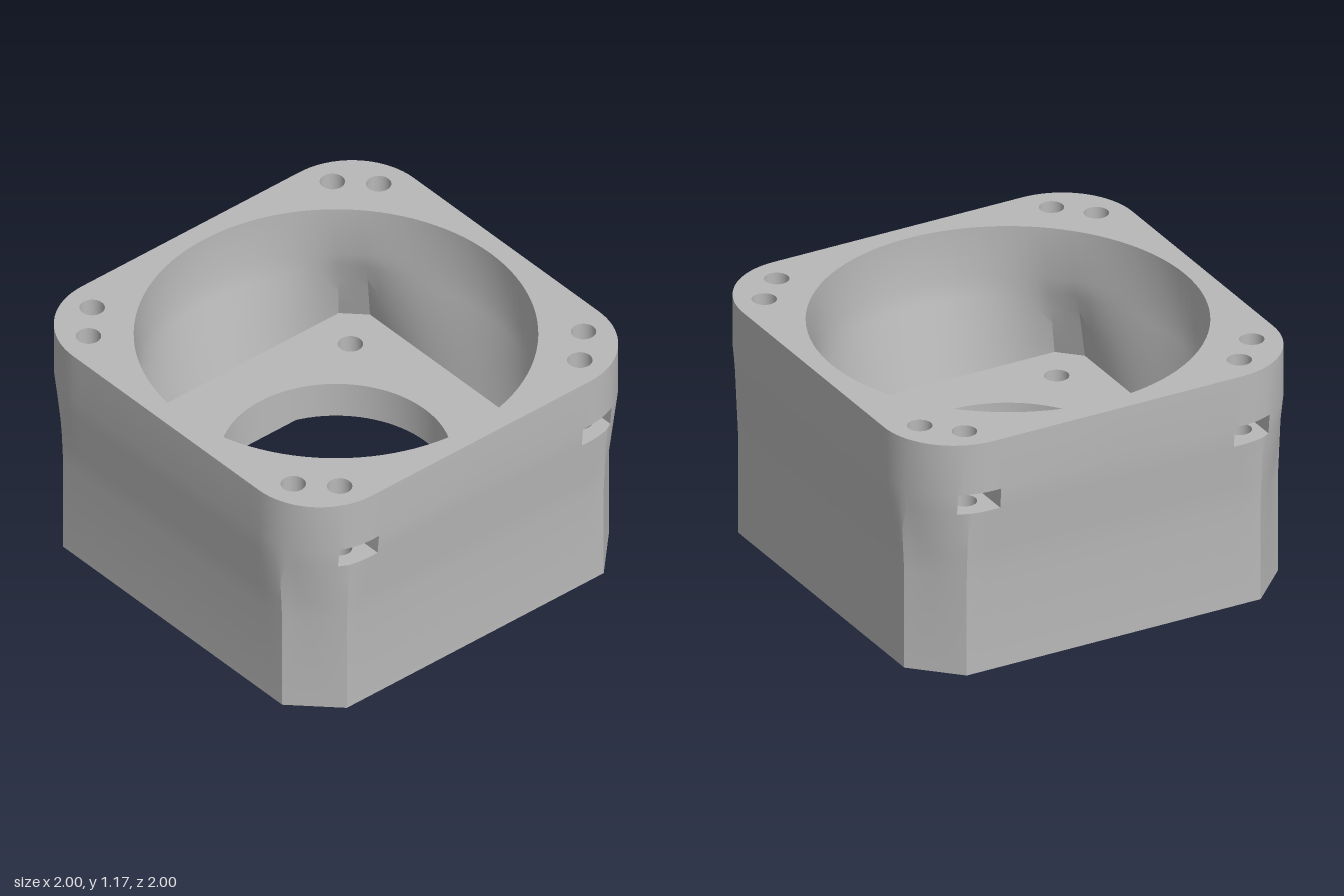
import * as THREE from 'three';
import { toCreasedNormals } from 'three/addons/utils/BufferGeometryUtils.js';

const TOP = 1.17, FLARE_TOP = 0.92, FLOOR = 0.48, PLATE = 0.30, SLOT_LOW = 0.82, BLIND = 0.7;
const SIGNS = [[1, 1], [-1, 1], [1, -1], [-1, -1]];

// Turn points from the +z axis to the diagonal into a full four-fold ring of [x, z]
function fullRing(half) {
  const quarter = [...half, ...half.slice(1, -1).reverse().map(([x, z]) => [z, x])];
  const ring = [];
  for (let k = 0; k < 4; k++) {
    for (let [x, z] of quarter) {
      for (let j = 0; j < k; j++) [x, z] = [z, -x];
      ring.push([x, z]);
    }
  }
  return ring;
}

function circle(r, cx = 0, cz = 0, n = 32) {
  return Array.from({ length: n }, (_, i) => {
    const a = i / n * Math.PI * 2;
    return [cx + r * Math.sin(a), cz + r * Math.cos(a)];
  });
}

// Outer section: chamfered square at t = 0, rounded square at t = 1
const DIAG = 0.64 + 0.36 * Math.SQRT1_2;
const OUTER_X = [0, 0.6, 0.64, 0.67, 0.7, 0.73, 0.755, 0.78, 0.8, 0.825, 0.85, 0.873, DIAG];
function outerPoint(x, t) {
  const zr = x <= 0.64 ? 1 : 0.64 + Math.sqrt(0.1296 - (x - 0.64) ** 2);
  const xo = x <= 0.8 ? x : 0.8 + (x - 0.8) * 0.0575 / (DIAG - 0.8);
  const zo = xo <= 0.755 ? 0.96 : 0.96 - (xo - 0.755);
  return [xo + (x - xo) * t, zo + (zr - zo) * t];
}
const flare = (y) => Math.min(1, Math.max(0, (y - FLOOR) / (FLARE_TOP - FLOOR)));
const outerRing = (y) => fullRing(OUTER_X.map((x) => outerPoint(x, flare(y))));

// Inner section: chamfered square at t = 0, circle at t = 1
const CORNER = Math.atan2(0.68, 0.78);
const INNER_A = [...Array.from({ length: 13 }, (_, i) => CORNER * i / 12), Math.PI / 4];
function innerRing(y) {
  const t = flare(y);
  return fullRing(INNER_A.map((a) => {
    const s = Math.sin(a), c = Math.cos(a);
    const r = Math.min(0.78 / c, 1.46 / (c + s)) * (1 - t) + 0.905 * t;
    return [r * s, r * c];
  }));
}

// Skin between stacked sections; inward turns the faces to the inside
function loft(rows, { inward = false, closed = true, skip } = {}) {
  const pos = [];
  for (let j = 0; j < rows.length - 1; j++) {
    const [lo, y0] = rows[j], [hi, y1] = rows[j + 1];
    const n = lo.length;
    for (let i = 0; i < (closed ? n : n - 1); i++) {
      const k = (i + 1) % n;
      if (skip && skip(lo[i], lo[k], y0)) continue;
      const a = [lo[i][0], y0, lo[i][1]], b = [lo[k][0], y0, lo[k][1]];
      const c = [hi[k][0], y1, hi[k][1]], d = [hi[i][0], y1, hi[i][1]];
      const tris = inward ? [a, c, b, a, d, c] : [a, b, c, a, c, d];
      tris.forEach((p) => pos.push(...p));
    }
  }
  const g = new THREE.BufferGeometry();
  g.setAttribute('position', new THREE.Float32BufferAttribute(pos, 3));
  return toCreasedNormals(g, 0.45);
}

// Flat horizontal face with holes, facing up or down
function cap(outline, holes, y, up) {
  const s = up ? -1 : 1;
  const pts = (ring) => ring.map(([x, z]) => new THREE.Vector2(x, z * s));
  const shape = new THREE.Shape(pts(outline));
  holes.forEach((h) => shape.holes.push(new THREE.Path(pts(h))));
  return new THREE.ShapeGeometry(shape).rotateX(s * Math.PI / 2).translate(0, y, 0);
}

export function createModel() {
  const model = new THREE.Group();
  const grey = new THREE.MeshStandardMaterial({ color: 0xb8b8b8, side: THREE.DoubleSide });
  grey.name = 'plain grey';
  const add = (name, geometry, parent = model) => {
    const mesh = new THREE.Mesh(geometry, grey);
    mesh.name = name;
    parent.add(mesh);
  };

  // Outer shell, left open where the four slots enter the front and back
  const inSlot = ([x, z]) => Math.abs(x) > 0.599 && Math.abs(x) < 0.801 && Math.abs(z) > 0.9;
  add('outerShell', loft([0, FLOOR, 0.6, 0.7, SLOT_LOW, FLARE_TOP, TOP].map((y) => [outerRing(y), y]), {
    skip: (a, b, y) => y === SLOT_LOW && inSlot(a) && inSlot(b) && a[0] * b[0] > 0,
  }));

  // Round mouth flowing down to the square floor, and the recess underneath
  add('upperCavity', loft([FLOOR, 0.56, 0.65, 0.74, 0.83, FLARE_TOP, TOP].map((y) => [innerRing(y), y]), { inward: true }));
  add('lowerCavity', loft([[innerRing(0), 0], [innerRing(0), PLATE]], { inward: true }));

  // Inner plate with centre opening and four screw holes
  const plateHoles = [circle(0.52, 0, 0, 96), ...SIGNS.map(([x, z]) => circle(0.057, x * 0.575, z * 0.575))];
  add('plateTop', cap(innerRing(0), plateHoles, FLOOR, true));
  add('plateUnderside', cap(innerRing(0), plateHoles, PLATE, false));
  plateHoles.forEach((h, i) => add(i ? 'plateScrewHole' : 'centreOpening',
    loft([[h, PLATE], [h, FLOOR]], { inward: true })));

  // Top rim with paired mounting holes, and the bottom rim
  const frontHole = circle(0.057, 0.706, 0.853), sideHole = circle(0.057, 0.853, 0.706);
  const rimHoles = SIGNS.flatMap(([x, z]) => [frontHole, sideHole].map((h) => h.map((p) => [p[0] * x, p[1] * z])));
  add('topRim', cap(outerRing(TOP), [innerRing(TOP), ...rimHoles], TOP, true));
  add('bottomRim', cap(outerRing(0), [innerRing(0)], 0, false));

  // Corner fixings: a nut slot crossed by one mounting hole, and a second blind hole
  const slotBack = [[0.8, 0.75], [0.6, 0.75]];
  const slotFront = (y) => OUTER_X.filter((x) => x > 0.59 && x < 0.81).map((x) => outerPoint(x, flare(y)));
  const slotWalls = (y) => [slotFront(y).at(-1), ...slotBack, slotFront(y)[0]];
  for (const [x, z] of SIGNS) {
    const fixing = new THREE.Group();
    fixing.name = 'cornerFixing';
    fixing.scale.set(x, 1, z);
    add('slotWalls', loft([[slotWalls(SLOT_LOW), SLOT_LOW], [slotWalls(FLARE_TOP), FLARE_TOP]],
      { inward: true, closed: false }), fixing);
    add('slotFloor', cap([...slotFront(SLOT_LOW), ...slotBack], [frontHole], SLOT_LOW, true), fixing);
    add('slotCeiling', cap([...slotFront(FLARE_TOP), ...slotBack], [frontHole], FLARE_TOP, false), fixing);
    for (const [hole, low, high] of [[frontHole, FLARE_TOP, TOP], [frontHole, BLIND, SLOT_LOW], [sideHole, BLIND, TOP]]) {
      add('mountingHole', loft([[hole, low], [hole, high]], { inward: true }), fixing);
      if (low === BLIND) add('mountingHoleEnd', cap(hole, [], low, true), fixing);
    }
    model.add(fixing);
  }
  return model;
}
